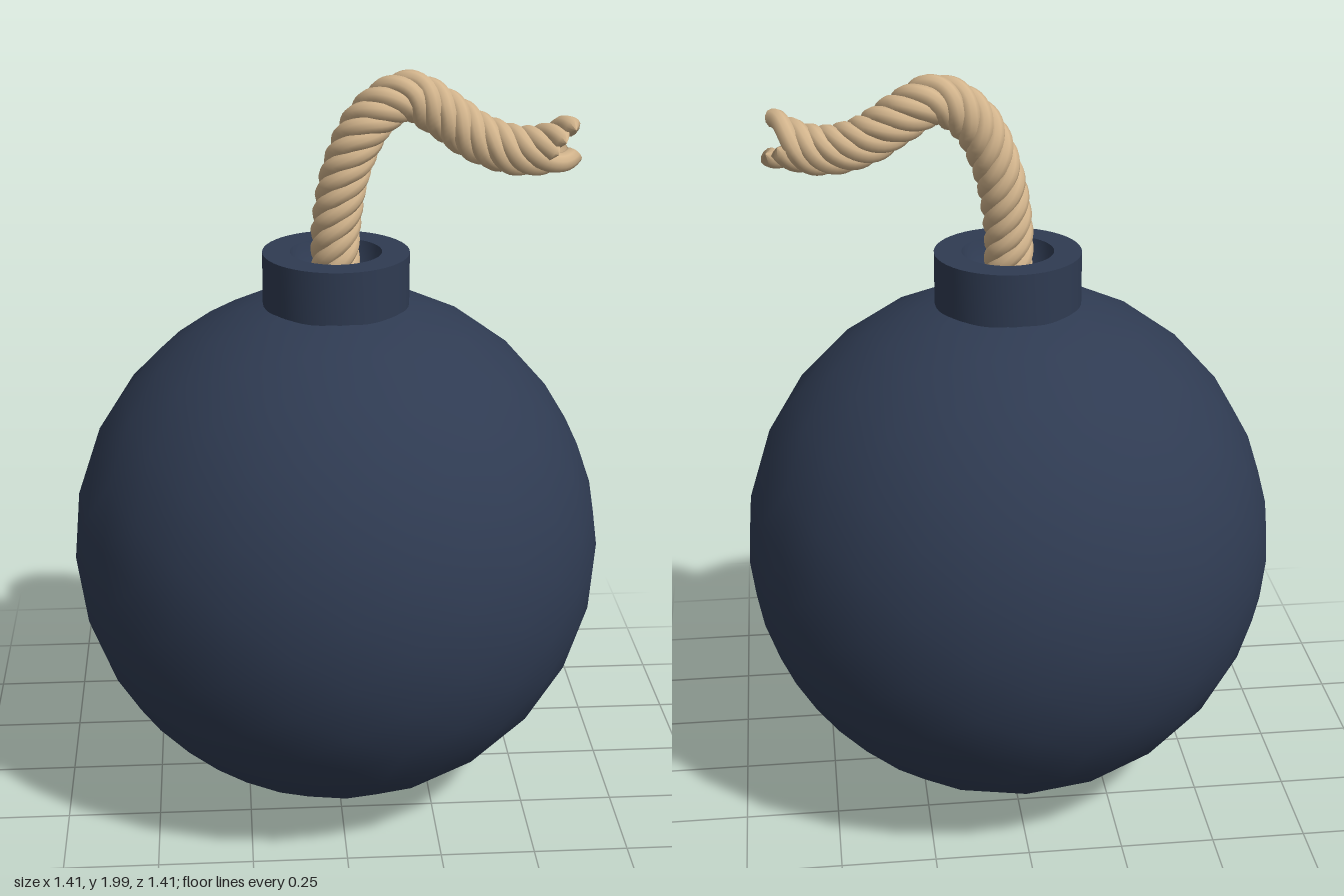
import * as THREE from 'three';
import { toCreasedNormals } from 'three/addons/utils/BufferGeometryUtils.js';

const iron = new THREE.MeshStandardMaterial({ color: 0x2f3b52 });
const hemp = new THREE.MeshStandardMaterial({ color: 0xd2b48c, side: THREE.DoubleSide });

const STRANDS = 5, PITCH = 0.24, OFFSET = 0.04, STRAND_RADIUS = 0.025;
const STEPS = 120, SIDES = 10;

// Centre line of the fuse
const core = new THREE.CatmullRomCurve3([
  [0, 1.43, 0], [0, 1.6, 0], [0.03, 1.76, 0], [0.09, 1.88, 0], [0.18, 1.935, 0],
  [0.27, 1.89, 0.005], [0.36, 1.83, 0.02], [0.47, 1.8, 0.045], [0.61, 1.83, 0.08],
].map((p) => new THREE.Vector3(...p)));

function addMesh(group, name, geometry, material) {
  const mesh = new THREE.Mesh(geometry, material);
  mesh.name = name;
  group.add(mesh);
  return mesh;
}

// One strand wound round the centre line, splayed and pointed at its free end
function strandGeometry(index, frames) {
  const turns = core.getLength() / PITCH;
  const end = 1 - 0.012 * ((index * 2) % STRANDS);
  const points = [];
  for (let i = 0; i <= STEPS * end; i++) {
    const u = i / STEPS;
    const angle = (turns * u + index / STRANDS) * Math.PI * 2;
    const radius = OFFSET + 0.012 * THREE.MathUtils.smoothstep(u, 0.92, 1);
    points.push(core.getPointAt(u)
      .addScaledVector(frames.normals[i], Math.cos(angle) * radius)
      .addScaledVector(frames.binormals[i], Math.sin(angle) * radius));
  }
  const geometry = new THREE.TubeGeometry(
    new THREE.CatmullRomCurve3(points), STEPS, STRAND_RADIUS, SIDES);
  // Close the free end by drawing the last ring in to its centre
  const tip = points[points.length - 1];
  const position = geometry.attributes.position;
  for (let j = 0; j <= SIDES; j++) {
    position.setXYZ(STEPS * (SIDES + 1) + j, tip.x, tip.y, tip.z);
  }
  return geometry;
}

export function createModel() {
  const model = new THREE.Group();
  model.name = 'bomb';

  // Round body
  addMesh(model, 'body', new THREE.IcosahedronGeometry(0.712, 4), iron).position.y = 0.711;

  // Collar with a dished socket for the fuse
  const profile = [[0.192, 1.36], [0.192, 1.53], [0.12, 1.53], [0.105, 1.48],
    [0.075, 1.445], [0, 1.43]].map((p) => new THREE.Vector2(...p));
  const collar = new THREE.LatheGeometry(profile, 48);
  addMesh(model, 'collar', toCreasedNormals(collar, 0.75), iron);

  // Twisted rope fuse
  const fuse = new THREE.Group();
  fuse.name = 'fuse';
  const frames = core.computeFrenetFrames(STEPS);
  for (let i = 0; i < STRANDS; i++) {
    addMesh(fuse, `fuseStrand${i + 1}`, strandGeometry(i, frames), hemp);
  }
  model.add(fuse);

  return model;
}
